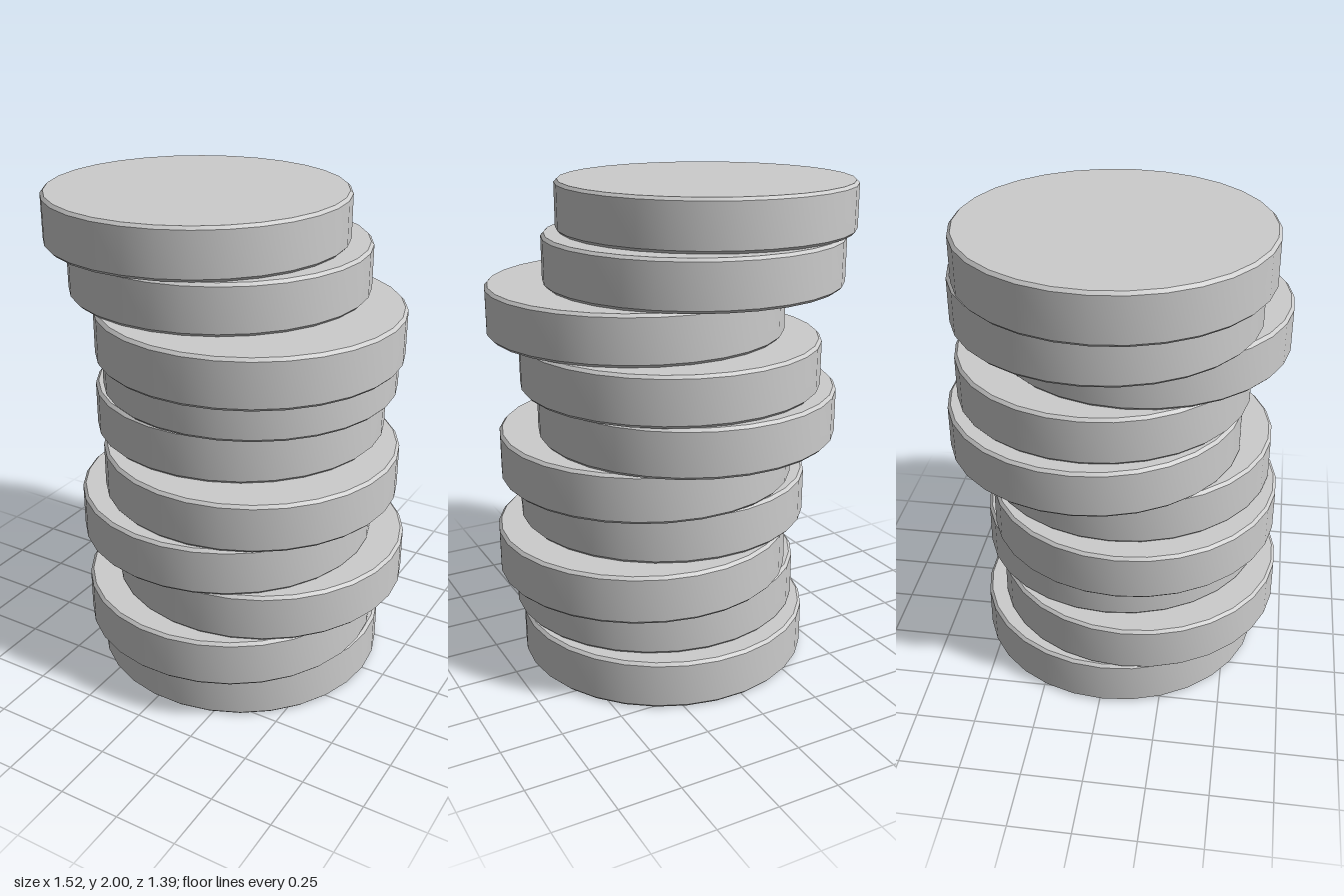
import * as THREE from 'three';
import { toCreasedNormals } from 'three/addons/utils/BufferGeometryUtils.js';

const RADIUS = 0.609, HEIGHT = 0.2, BEVEL = 0.012, SIDES = 30;

// x and z offset of each disc, from the bottom up
const OFFSETS = [
  [0.05, 0.011], [0.05, 0.093], [0.147, 0.011], [0.02, 0.072], [0.114, 0.037],
  [-0.01, -0.09], [0.05, -0.063], [0.131, 0.085], [-0.074, -0.03], [-0.154, 0.011],
];

// Disc with a small bevel on both rims
function discGeometry() {
  const profile = [
    [0, 0], [RADIUS - BEVEL, 0], [RADIUS, BEVEL],
    [RADIUS, HEIGHT - BEVEL], [RADIUS - BEVEL, HEIGHT], [0, HEIGHT],
  ].map(([x, y]) => new THREE.Vector2(x, y));
  const lathe = new THREE.LatheGeometry(profile, SIDES);
  lathe.rotateY(Math.PI / 2); // corners on the x axis
  return toCreasedNormals(lathe, 0.6);
}

export function createModel() {
  const stack = new THREE.Group();
  stack.name = 'coinStack';
  const geometry = discGeometry();
  const material = new THREE.MeshStandardMaterial({ color: 0xcccccc });

  OFFSETS.forEach(([x, z], i) => {
    const coin = new THREE.Mesh(geometry, material);
    coin.name = `coin${i + 1}`;
    coin.position.set(x, i * HEIGHT, z);
    stack.add(coin);
  });
  return stack;
}
